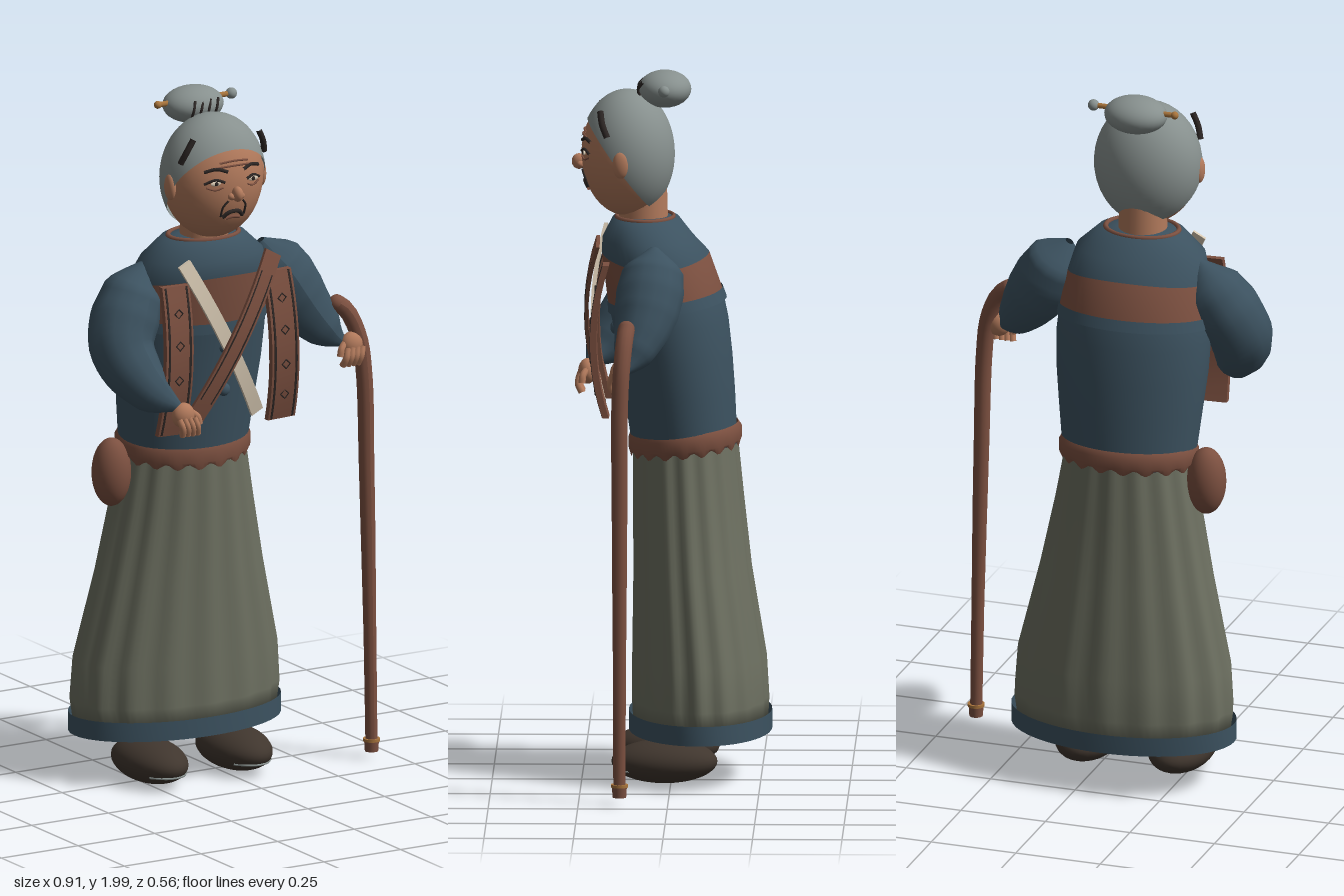
import * as THREE from 'three';

const material = (name, color, side = THREE.FrontSide) =>
  Object.assign(new THREE.MeshStandardMaterial({ color, side }), { name });
const V = (x, y, z) => new THREE.Vector3(x, y, z);
const CX = -0.085; // the body stands left of the cane, off the origin
const HEAD = { y: 1.765, z: 0.125, rx: 0.147, ry: 0.175, rz: 0.128 };

// Skin from elliptical rows [y, rx, zCentre, rz, material index]; shape(t, row) may return {k, dy}
function loft(rows, n, shape = () => ({ k: 1, dy: 0 })) {
  const pos = [], idx = [], g = new THREE.BufferGeometry();
  rows.forEach(([y, rx, cz, rz], i) => {
    for (let j = 0; j < n; j++) {
      const t = (j / n) * Math.PI * 2, { k, dy } = shape(t, i);
      pos.push(rx * k * Math.sin(t), y + dy, cz + rz * k * Math.cos(t));
    }
  });
  for (let i = 0; i < rows.length - 1; i++) {
    g.addGroup(idx.length, n * 6, rows[i][4] || 0);
    for (let j = 0; j < n; j++) {
      const a = i * n + j, b = i * n + (j + 1) % n;
      idx.push(a, b, a + n, b, b + n, a + n);
    }
  }
  g.setAttribute('position', new THREE.Float32BufferAttribute(pos, 3));
  g.setIndex(idx);
  g.computeVertexNormals();
  return g;
}

// Tube whose radius follows a list of values along its length
function taperedTube(points, radii, rings = 28, sides = 14) {
  const curve = new THREE.CatmullRomCurve3(points);
  const g = new THREE.TubeGeometry(curve, rings, 1, sides);
  const p = g.attributes.position, v = V(0, 0, 0);
  for (let i = 0; i <= rings; i++) {
    const c = curve.getPointAt(i / rings), f = (i / rings) * (radii.length - 1);
    const a = Math.min(Math.floor(f), radii.length - 2);
    const r = THREE.MathUtils.lerp(radii[a], radii[a + 1], f - a);
    for (let j = 0; j <= sides; j++) {
      const k = i * (sides + 1) + j;
      v.fromBufferAttribute(p, k).sub(c).multiplyScalar(r).add(c);
      p.setXYZ(k, v.x, v.y, v.z);
    }
  }
  g.computeVertexNormals();
  return g;
}

export function createModel() {
  const model = new THREE.Group();
  model.name = 'elderWithCane';
  const skin = material('skin', 0xb27a5c), hair = material('greyHair', 0x87908e, THREE.DoubleSide);
  const blue = material('blueCloth', 0x3c5260, THREE.DoubleSide);
  const green = material('skirtCloth', 0x6c6f60, THREE.DoubleSide);
  const brown = material('brownLeather', 0x7c5040, THREE.DoubleSide);
  const shoe = material('darkShoe', 0x40362e), cream = material('creamCloth', 0xd6c8b2);
  const ochre = material('ochreWood', 0xa8743c), dark = material('darkLine', 0x2c2624);

  const add = (name, geo, mat, x = 0, y = 0, z = 0, parent = model) => {
    const m = new THREE.Mesh(geo, mat);
    m.name = name;
    m.position.set(x, y, z);
    parent.add(m);
    return m;
  };
  const ball = (name, mat, x, y, z, rx, ry = rx, rz = rx) =>
    add(name, new THREE.SphereGeometry(1, 28, 20).scale(rx, ry, rz), mat, x, y, z);
  const rod = (name, mat, points, r) =>
    add(name, new THREE.TubeGeometry(new THREE.CatmullRomCurve3(points), 12, r, 8), mat);

  // Skirt with soft folds and a closed underside
  const skirtRows = [[0.2, 0.001, -0.08, 0.001], [0.17, 0.31, -0.08, 0.187], [0.23, 0.316, -0.08, 0.188],
    [0.35, 0.308, -0.077, 0.184], [0.6, 0.25, -0.058, 0.162], [0.8, 0.21, -0.046, 0.152], [0.97, 0.18, -0.038, 0.143]];
  add('skirt', loft(skirtRows, 96, (t, i) => ({ k: 1 + (i > 1 ? 0.022 : 0.01) * Math.cos(16 * t), dy: 0 })), green, CX);
  add('skirtHem', loft([[0.14, 0.326, -0.08, 0.2], [0.195, 0.326, -0.08, 0.2]], 48), blue, CX);

  // Jacket with a brown band around the chest
  const torso = [[0.95, 0.19, -0.035, 0.148], [1.1, 0.207, -0.02, 0.156], [1.2, 0.218, -0.008, 0.161],
    [1.3, 0.222, 0.005, 0.163], [1.36, 0.218, 0.018, 0.16, 1], [1.475, 0.205, 0.046, 0.15],
    [1.53, 0.185, 0.066, 0.128], [1.585, 0.125, 0.073, 0.093], [1.59, 0.06, 0.075, 0.05]];
  add('jacket', loft(torso, 48, (t, i) => ({
    k: 1, dy: i === 4 ? -0.02 * Math.cos(t) : i === 5 ? 0.012 * Math.cos(2 * t) : 0,
  })), [blue, brown], CX);
  add('jacketFlap', loft([[1.34, 0.224, 0.013, 0.166], [1.37, 0.22, 0.019, 0.161]], 48,
    (t) => ({ k: 1, dy: -0.02 * Math.cos(t) })), blue, CX);
  add('collar', new THREE.TorusGeometry(1, 0.07, 8, 40).rotateX(Math.PI / 2).scale(0.105, 0.1, 0.08), brown, CX, 1.587, 0.075);
  add('belt', loft([[0.935, 0.19, -0.037, 0.152], [0.95, 0.2, -0.037, 0.158], [0.98, 0.2, -0.037, 0.158], [0.995, 0.192, -0.035, 0.15]], 96,
    (t, i) => ({ k: 1, dy: -0.015 * Math.cos(t) + (i < 1 ? 0.008 * Math.cos(18 * t) : 0) })), brown, CX);
  ball('pouch', brown, -0.315, 0.9, -0.04, 0.056, 0.098, 0.055);
  [1.275, 1.15].forEach((y) => ball('button', blue, -0.068, y, 0.158, 0.019, 0.019, 0.014));

  // Shoes with a pale sole line at the toe
  for (const x of [-0.225, 0.05]) {
    ball('shoe', shoe, x, 0.067, 0.018, 0.09, 0.061, 0.148);
    const line = [-0.06, -0.03, 0, 0.03, 0.06].map((d) => V(x + d, 0.045, 0.018 + 0.14 * Math.sqrt(1 - (d / 0.085) ** 2)));
    rod('shoeSeam', hair, line, 0.003);
  }

  // Sleeves
  add('rightSleeve', taperedTube([V(-0.255, 1.52, 0.05), V(-0.305, 1.43, 0.055), V(-0.365, 1.3, 0.1),
    V(-0.325, 1.19, 0.185), V(-0.255, 1.14, 0.235)], [0.012, 0.085, 0.098, 0.092, 0.082, 0.06, 0.01]), blue);
  add('leftSleeve', taperedTube([V(0.12, 1.53, 0.045), V(0.165, 1.45, 0.05), V(0.235, 1.34, 0.07),
    V(0.305, 1.25, 0.105), V(0.345, 1.215, 0.125)], [0.012, 0.085, 0.095, 0.09, 0.075, 0.055, 0.01]), blue);

  // Hands: palm, four fingers and a thumb
  const hand = (name, x, y, z, dir) => {
    ball(name + 'Palm', skin, x, y, z, 0.034, 0.036, 0.026);
    for (let i = 0; i < 4; i++) {
      const fx = x - 0.024 + i * 0.016;
      rod(name + 'Finger', skin, [V(fx, y - 0.005, z + 0.018), V(fx + dir * 0.008, y - 0.03, z + 0.025),
        V(fx + dir * 0.014, y - 0.055, z + 0.014)], 0.0095);
    }
    rod(name + 'Thumb', skin, [V(x + dir * 0.02, y + 0.01, z), V(x + dir * 0.04, y - 0.008, z + 0.012), V(x + dir * 0.045, y - 0.028, z + 0.014)], 0.01);
  };
  hand('rightHand', -0.25, 1.12, 0.24, 1);
  hand('leftHand', 0.362, 1.215, 0.137, -1);

  // Cane with a bent handle
  add('cane', taperedTube([V(0.428, 0.03, 0.135), V(0.422, 0.4, 0.135), V(0.412, 0.85, 0.135), V(0.404, 1.12, 0.135),
    V(0.39, 1.23, 0.13), V(0.355, 1.31, 0.122), V(0.325, 1.335, 0.118)], [0.017, 0.018, 0.021, 0.023, 0.024], 48), brown);
  add('caneTip', new THREE.CylinderGeometry(0.021, 0.019, 0.03, 16), brown, 0.428, 0.042, 0.135);
  add('caneRing', new THREE.CylinderGeometry(0.024, 0.024, 0.008, 16), ochre, 0.428, 0.06, 0.135);
  add('caneHandleEnd', new THREE.SphereGeometry(0.024, 14, 10), brown, 0.325, 1.335, 0.118);

  // Hanging panels and crossed straps, bowed away from the chest
  const bowed = (w, h, d) => {
    const g = new THREE.BoxGeometry(w, h, d, 1, 10, 1), p = g.attributes.position;
    for (let i = 0; i < p.count; i++) p.setZ(i, p.getZ(i) - 0.035 * (p.getY(i) / (h / 2)) ** 2);
    g.computeVertexNormals();
    return g;
  };
  for (const [x, tilt] of [[-0.25, 0.03], [0.095, -0.03]]) {
    const panel = new THREE.Group();
    panel.name = 'hangingPanel';
    panel.position.set(x, 1.265, 0.215);
    panel.rotation.z = -tilt;
    model.add(panel);
    add('panelCloth', bowed(0.088, 0.43, 0.018), brown, 0, 0, 0, panel);
    for (const s of [-1, 1]) add('panelEdge', bowed(0.006, 0.425, 0.004), dark, s * 0.034, 0, 0.009, panel);
    for (const y of [-0.14, -0.05, 0.05, 0.14])
      add('panelDiamond', new THREE.TorusGeometry(0.013, 0.0025, 4, 4), dark, 0, y, 0.01 - 0.035 * (y / 0.215) ** 2, panel);
  }
  const strap = (name, mat, w, from, to, z) => {
    const d = to.clone().sub(from);
    const m = add(name, bowed(w, d.length(), 0.01), mat, (from.x + to.x) / 2, (from.y + to.y) / 2, z);
    m.rotation.z = Math.atan2(-d.x, d.y);
    return m;
  };
  strap('creamStrap', cream, 0.04, V(0.022, 1.08, 0), V(-0.215, 1.54, 0), 0.222);
  const sash = strap('brownStrap', brown, 0.055, V(-0.195, 1.09, 0), V(0.065, 1.54, 0), 0.238);
  for (const s of [-1, 1]) add('strapStitch', bowed(0.004, 0.5, 0.003), dark, s * 0.019, 0, 0.005, sash);

  // Neck, head and swept-back hair
  add('neck', new THREE.CylinderGeometry(0.066, 0.07, 0.14, 24), skin, CX, 1.61, 0.08);
  ball('head', skin, CX, HEAD.y, HEAD.z, HEAD.rx, HEAD.ry, HEAD.rz);
  add('hairCap', new THREE.SphereGeometry(1, 40, 24, 0, Math.PI * 2, 0, 1.78).rotateX(-0.79)
    .scale(HEAD.rx + 0.007, HEAD.ry + 0.006, HEAD.rz + 0.005), hair, CX, HEAD.y, HEAD.z);
  ball('hairBun', hair, CX, 1.948, 0.02, 0.09, 0.052, 0.074);
  rod('hairPin', ochre, [V(-0.2, 1.96, 0.02), V(0.035, 1.96, 0.02)], 0.008);
  ball('hairPinBead', hair, 0.04, 1.96, 0.02, 0.016);
  ball('hairPinEnd', ochre, -0.2, 1.96, 0.02, 0.011);
  for (let i = 0; i < 4; i++) {
    const x = CX - 0.045 + i * 0.025;
    rod('bunStrand', dark, [V(x + 0.016, 1.972, 0.08), V(x + 0.004, 1.95, 0.094), V(x, 1.915, 0.08)], 0.004);
  }

  // Face lines laid on the head; [dx, y] points are relative to its middle
  const onFace = ([dx, y], lift = 0.002) => V(CX + dx, y, HEAD.z + lift
    + HEAD.rz * Math.sqrt(Math.max(0, 1 - (dx / HEAD.rx) ** 2 - ((y - HEAD.y) / HEAD.ry) ** 2)));
  const faceLine = (name, mat, pts, r) => rod(name, mat, pts.map((p) => onFace(p)), r);
  for (const [y, w] of [[1.835, 0.045], [1.822, 0.06]])
    faceLine('foreheadWrinkle', brown, [[-w, y - 0.004], [0, y], [w, y - 0.004]], 0.003);
  for (const s of [-1, 1]) {
    const side = s < 0 ? 'right' : 'left';
    faceLine(side + 'Brow', dark, [[s * 0.025, 1.807], [s * 0.055, 1.816], [s * 0.088, 1.808]], 0.005);
    faceLine(side + 'EyeLid', dark, [[s * 0.035, 1.778], [s * 0.06, 1.786], [s * 0.09, 1.774]], 0.004);
    const e = onFace([s * 0.06, 1.776]);
    ball(side + 'EyeWhite', cream, e.x, e.y, e.z, 0.017, 0.007, 0.004);
    ball(side + 'Pupil', dark, e.x, e.y, e.z + 0.003, 0.006, 0.006, 0.003);
    faceLine(side + 'EyeBag', brown, [[s * 0.04, 1.763], [s * 0.062, 1.757], [s * 0.085, 1.764]], 0.0025);
    faceLine(side + 'CheekLine', dark, [[s * 0.022, 1.722], [s * 0.036, 1.705], [s * 0.038, 1.675]], 0.003);
    ball(side + 'Nostril', skin, CX + s * 0.014, 1.735, 0.254, 0.012, 0.01, 0.012);
    ball(side + 'Ear', skin, CX + s * 0.147, 1.755, 0.14, 0.014, 0.038, 0.023);
    const x = CX + s * 0.118;
    rod(side + 'HairStreak', dark, [V(x - s * 0.012, 1.9, 0.198), V(x + s * 0.006, 1.865, 0.192), V(x + s * 0.018, 1.83, 0.178)], 0.009);
  }
  ball('nose', skin, CX, 1.742, 0.26, 0.015, 0.022, 0.02);
  faceLine('mouth', dark, [[-0.032, 1.672], [-0.015, 1.687], [0.015, 1.687], [0.032, 1.672]], 0.006);
  faceLine('lowerLip', brown, [[-0.022, 1.668], [0, 1.672], [0.022, 1.668]], 0.005);
  return model;
}
